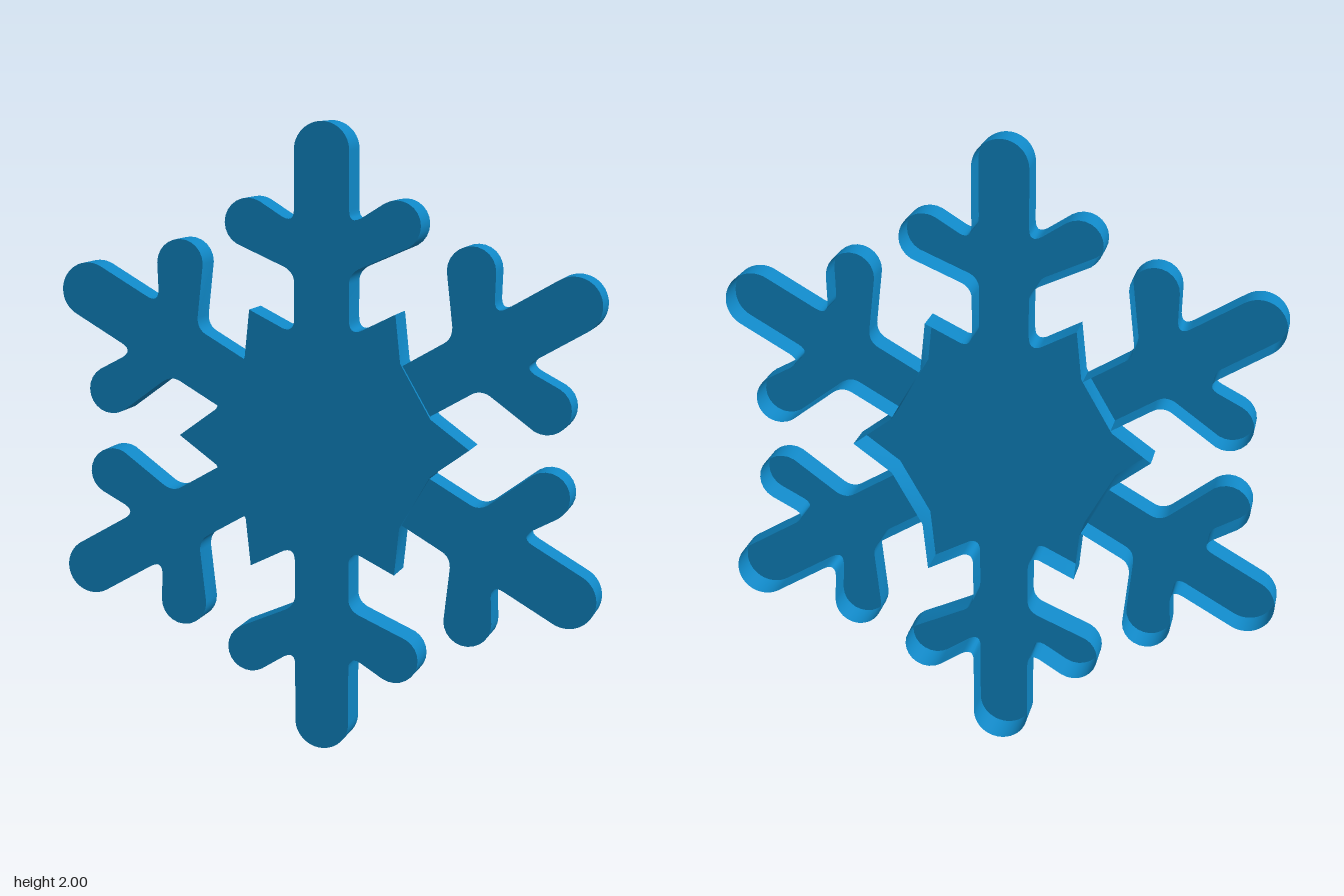
import * as THREE from 'three';
import { mergeGeometries, toCreasedNormals } from 'three/addons/utils/BufferGeometryUtils.js';

const BACK = -0.057, FRONT = 0.057, ARM_FRONT = 0.045;
const STAR_R = 0.476;   // radius of the star points
const W = 0.089;        // half width of an arm

// Outline of one upright arm, from its right foot over the tip to its left foot
function armOutline(filletFoot) {
  const p = new THREE.Path();
  if (filletFoot) {
    p.moveTo(0.125, 0.356);
    p.quadraticCurveTo(W, 0.345, W, 0.39);
  } else {
    p.moveTo(W, 0.35);
  }
  // side branch, leaning up 30 degrees
  p.lineTo(W, 0.5);
  p.quadraticCurveTo(W, 0.532, 0.12, 0.549);
  p.absarc(0.24, 0.685, 0.077, -Math.PI / 3, Math.PI * 2 / 3, false);
  p.lineTo(0.127, 0.705);
  p.quadraticCurveTo(W, 0.685, W, 0.73);
  // rounded tip, right half
  p.absarc(0, 1 - W, W, 0, Math.PI / 2, false);
  const right = p.getPoints(6);
  const left = right.slice(0, -1).reverse().map(v => new THREE.Vector2(-v.x, v.y));
  return [...right, ...left];
}

const turn = (points, angle) =>
  points.map(v => v.clone().rotateAround(new THREE.Vector2(), angle));

// Open-backed shell: a front sheet and a wall running back from its outline
function shell(outline, front, closed) {
  const sheet = new THREE.ShapeGeometry(new THREE.Shape(outline)).toNonIndexed();
  sheet.translate(0, 0, front);
  sheet.deleteAttribute('uv');

  const pos = [];
  const count = closed ? outline.length : outline.length - 1;
  for (let i = 0; i < count; i++) {
    const a = outline[i], b = outline[(i + 1) % outline.length];
    if (a.distanceTo(b) < 1e-5) continue;
    pos.push(a.x, a.y, front, a.x, a.y, BACK, b.x, b.y, BACK);
    pos.push(a.x, a.y, front, b.x, b.y, BACK, b.x, b.y, front);
  }
  let wall = new THREE.BufferGeometry();
  wall.setAttribute('position', new THREE.Float32BufferAttribute(pos, 3));
  wall = toCreasedNormals(wall, 0.6);
  return mergeGeometries([sheet, wall]);
}

export function createModel() {
  const group = new THREE.Group();
  group.name = 'snowflake';
  const blue = new THREE.MeshStandardMaterial({ color: 0x0f86c4, side: THREE.DoubleSide });
  blue.name = 'ice blue';

  const add = (name, geometry) => {
    const mesh = new THREE.Mesh(geometry, blue);
    mesh.name = name;
    mesh.position.y = 1;
    group.add(mesh);
  };

  // Central star in one piece with the upper and lower arms
  const fullArm = armOutline(true);
  const valley = [new THREE.Vector2(0.098, 0.35), new THREE.Vector2(-0.098, 0.35)];
  const starPoint = [new THREE.Vector2(-STAR_R / 2, STAR_R * Math.sqrt(3) / 2)];
  const body = [];
  for (let k = 0; k < 6; k++) {
    const angle = k * Math.PI / 3;
    body.push(...turn(k % 3 === 0 ? fullArm : valley, angle), ...turn(starPoint, angle));
  }
  add('starWithUprightArms', shell(body, FRONT, true));

  // Four slanted arms, slightly shallower, butting against the star
  const names = { 1: 'upperRightArm', 2: 'lowerRightArm', 4: 'lowerLeftArm', 5: 'upperLeftArm' };
  for (const k of [1, 2, 4, 5]) {
    const outline = turn(armOutline(false), k * Math.PI / 3);
    add(names[k], shell(outline, ARM_FRONT, false));
  }
  return group;
}
